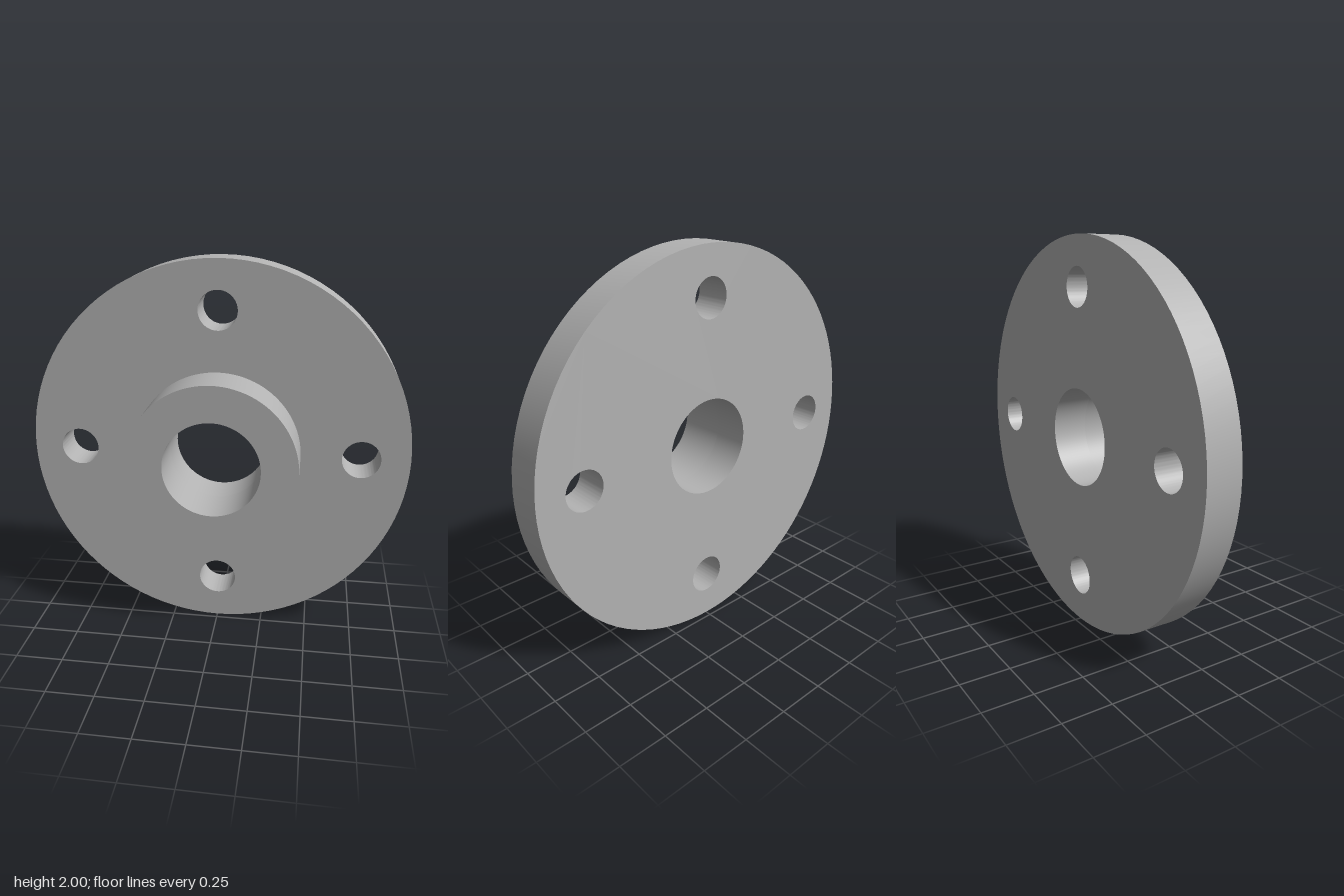
import * as THREE from 'three';
import { toCreasedNormals } from 'three/addons/utils/BufferGeometryUtils.js';

const SEGMENTS = 96;
const BORE_RADIUS = 0.25;
const HUB_RADIUS = 0.4375;
const HUB_LENGTH = 0.25;
const PLATE_THICKNESS = 0.1875;
const BACK_Z = -(PLATE_THICKNESS + HUB_LENGTH) / 2;
const FACE_Z = BACK_Z + PLATE_THICKNESS;

function circleHole(x, y, radius) {
  return new THREE.Path().absarc(x, y, radius, 0, Math.PI * 2, true);
}

export function createModel() {
  const group = new THREE.Group();
  group.name = 'pipeFlange';
  const steel = new THREE.MeshStandardMaterial({ color: 0xb3b3b3 });
  steel.name = 'grey steel';

  // Round plate with the central bore and four bolt holes
  const disc = new THREE.Shape().absarc(0, 0, 1, 0, Math.PI * 2, false);
  disc.holes.push(circleHole(0, 0, BORE_RADIUS));
  for (let i = 0; i < 4; i++) {
    const angle = (i * Math.PI) / 2;
    disc.holes.push(circleHole(0.75 * Math.cos(angle), 0.75 * Math.sin(angle), 0.1));
  }
  const plateGeometry = new THREE.ExtrudeGeometry(disc, {
    depth: PLATE_THICKNESS,
    bevelEnabled: false,
    curveSegments: SEGMENTS / 2,
  });
  const plate = new THREE.Mesh(toCreasedNormals(plateGeometry, 0.6), steel);
  plate.name = 'flangePlate';
  plate.position.set(0, 1, BACK_Z);
  group.add(plate);

  // Raised hub: outer wall, front ring and bore wall, open where it meets the plate
  const profile = [
    new THREE.Vector2(HUB_RADIUS, 0),
    new THREE.Vector2(HUB_RADIUS, HUB_LENGTH),
    new THREE.Vector2(BORE_RADIUS, HUB_LENGTH),
    new THREE.Vector2(BORE_RADIUS, 0),
  ];
  const hubGeometry = new THREE.LatheGeometry(profile, SEGMENTS).rotateX(Math.PI / 2);
  const hub = new THREE.Mesh(toCreasedNormals(hubGeometry, 0.6), steel);
  hub.name = 'hub';
  hub.position.set(0, 1, FACE_Z);
  group.add(hub);

  return group;
}
